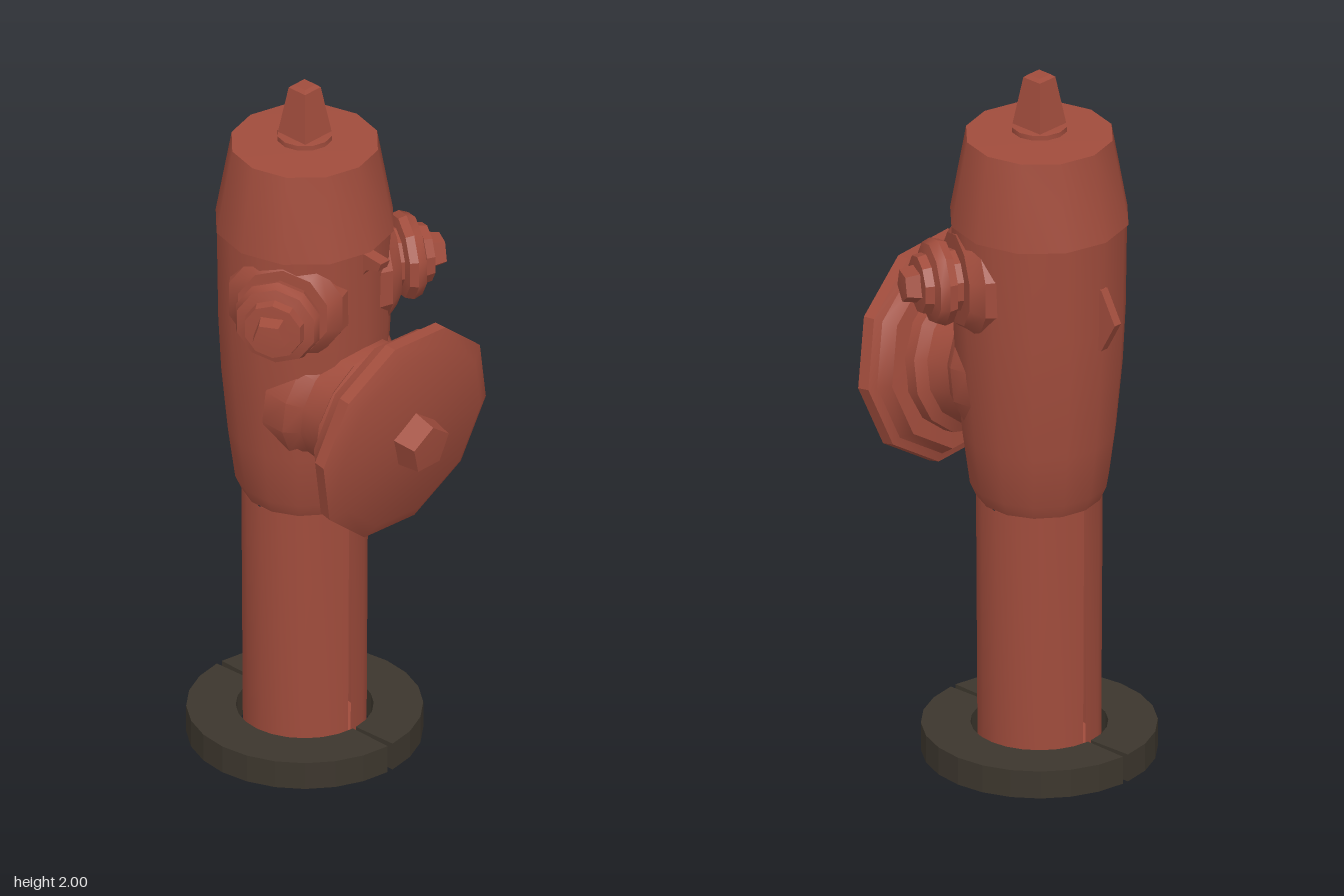
import * as THREE from 'three';
import { toCreasedNormals } from 'three/addons/utils/BufferGeometryUtils.js';

const red = new THREE.MeshStandardMaterial({ color: 0xa04c3c, side: THREE.DoubleSide });
red.name = 'hydrant red';
const dark = new THREE.MeshStandardMaterial({ color: 0x3c362d });
dark.name = 'dark base';

// Revolved part from [radius, height] pairs listed bottom to top
function turned(name, profile, sides, start = 0, length = Math.PI * 2) {
  const points = profile.map(([r, y]) => new THREE.Vector2(r, y));
  const geometry = toCreasedNormals(new THREE.LatheGeometry(points, sides, start, length), 0.6);
  const mesh = new THREE.Mesh(geometry, red);
  mesh.name = name;
  return mesh;
}

// Revolved part whose axis points along +z
function turnedForward(name, profile, sides, start = 0) {
  const mesh = turned(name, profile, sides, start);
  mesh.geometry.rotateX(Math.PI / 2);
  return mesh;
}

// Thin upright plate: outline given in (z, y), thickness along x
function plate(name, outline, thickness) {
  const shape = new THREE.Shape(outline.map(([z, y]) => new THREE.Vector2(-z, y)));
  const geometry = new THREE.ExtrudeGeometry(shape, { depth: thickness, bevelEnabled: false });
  geometry.translate(0, 0, -thickness / 2).rotateY(Math.PI / 2);
  const mesh = new THREE.Mesh(geometry, red);
  mesh.name = name;
  return mesh;
}

export function createModel() {
  const model = new THREE.Group();
  model.name = 'fireHydrant';

  // Barrel parts share one axis
  const barrel = new THREE.Group();
  barrel.name = 'barrel';
  barrel.position.set(0.015, 0, -0.08);
  model.add(barrel);

  // Base ring and lower shaft are made of two halves with a narrow seam
  const gap = 0.03;
  for (const side of [0, 1]) {
    const ring = new THREE.Shape();
    ring.absarc(0, 0, 0.318, -Math.PI / 2 + gap, Math.PI / 2 - gap, false);
    ring.absarc(0, 0, 0.185, Math.PI / 2 - gap, -Math.PI / 2 + gap, true);
    const geometry = new THREE.ExtrudeGeometry(ring, { depth: 0.08, bevelEnabled: false, curveSegments: 6 });
    geometry.rotateX(-Math.PI / 2).rotateY(side * Math.PI);
    const half = new THREE.Mesh(geometry, dark);
    half.name = 'baseRingHalf';
    barrel.add(half);

    barrel.add(turned('shaftHalf', [[0, 0.02], [0.166, 0.02], [0.17, 0.76]],
      8, side * Math.PI + gap, Math.PI - 2 * gap));
  }

  // Flared upper body and tapered bonnet
  barrel.add(turned('upperBody', [
    [0, 0.76], [0.17, 0.76], [0.188, 0.8], [0.208, 0.95], [0.226, 1.14], [0.234, 1.3], [0.238, 1.58],
  ], 14));
  barrel.add(turned('bonnet', [[0.2, 1.58], [0.246, 1.58], [0.202, 1.825], [0, 1.832]], 12));

  // Top nut: round flange and square tapered stem
  barrel.add(turned('nutFlange', [[0.05, 1.828], [0.076, 1.838], [0.076, 1.852], [0, 1.858]], 12));
  barrel.add(turned('topNut', [[0.072, 1.855], [0.043, 1.992], [0.03, 2], [0, 2]], 4, Math.PI / 4));

  // Side outlets, turned towards the front
  for (const side of [-1, 1]) {
    const outlet = new THREE.Group();
    outlet.name = side > 0 ? 'leftOutlet' : 'rightOutlet';
    outlet.position.y = 1.425;
    outlet.rotation.y = side * 1.06;
    outlet.add(turnedForward('outletCollar', [[0.175, 0.14], [0.165, 0.2], [0.13, 0.235], [0, 0.24]], 10));
    outlet.add(turnedForward('outletNeck', [[0.09, 0.15], [0.085, 0.28]], 10));
    outlet.add(turnedForward('outletCap', [
      [0.08, 0.255], [0.115, 0.262], [0.122, 0.285], [0.112, 0.31], [0.085, 0.318], [0.08, 0.343], [0, 0.348],
    ], 10));
    outlet.add(turnedForward('outletNut', [[0.055, 0.34], [0.046, 0.385], [0, 0.388]], 5));
    barrel.add(outlet);
  }

  // Large front outlet with a slightly drooping cap
  const front = new THREE.Group();
  front.name = 'frontOutlet';
  front.position.set(0.012, 1.075, 0.285);
  front.rotation.x = 0.13;
  front.add(turnedForward('frontNeck', [
    [0.22, -0.31], [0.215, -0.24], [0.185, -0.2], [0.19, -0.13], [0.22, -0.11], [0.22, -0.06],
  ], 14));
  front.add(turnedForward('frontCap', [
    [0.18, -0.08], [0.27, -0.072], [0.29, -0.035], [0.314, -0.025], [0.317, 0.01], [0.27, 0.035], [0, 0.045],
  ], 10, 0.25));
  front.add(turnedForward('frontNut', [[0.083, 0.035], [0.07, 0.108], [0, 0.112]], 5, Math.PI));
  model.add(front);

  // Small lugs for chains, front and back
  const frontLug = plate('frontLug', [[0.12, 1.58], [0.22, 1.57], [0.21, 1.545], [0.165, 1.53], [0.12, 1.46]], 0.035);
  const backLug = plate('backLug', [[-0.3, 1.44], [-0.32, 1.44], [-0.37, 1.35], [-0.32, 1.26], [-0.3, 1.26]], 0.025);
  for (const lug of [frontLug, backLug]) {
    lug.position.x = 0.015;
    model.add(lug);
  }
  return model;
}
